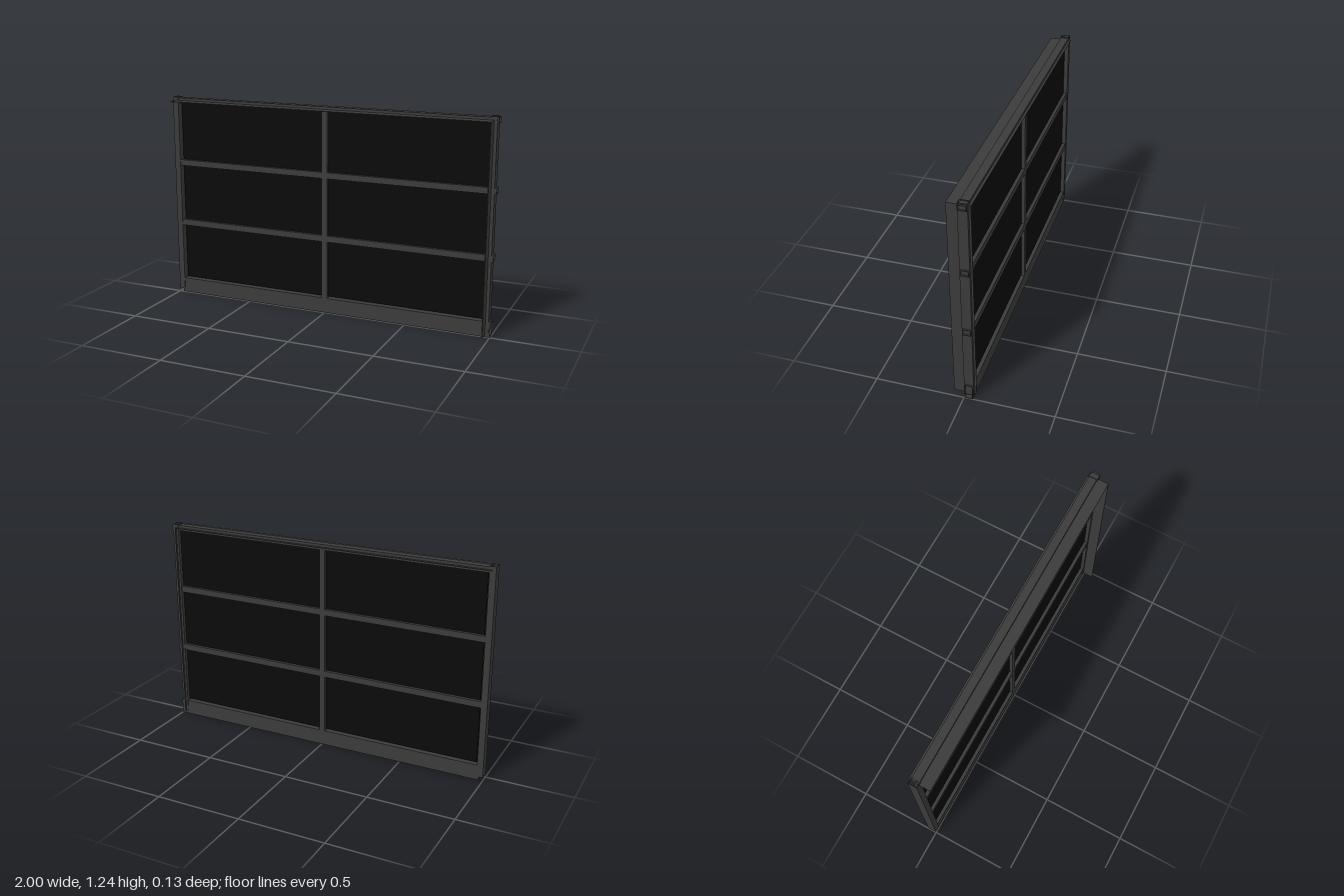
import * as THREE from 'three';

export function createModel() {
  const model = new THREE.Group();
  model.name = 'framedPanel';
  const steel = new THREE.MeshStandardMaterial({ color: 0x3b3b3b });
  steel.name = 'dark grey steel';
  const glass = new THREE.MeshStandardMaterial({ color: 0x0b0b0b });
  glass.name = 'black glass';

  // A solid block given by its lower and upper corners
  function block(name, [x0, y0, z0], [x1, y1, z1], material = steel) {
    const mesh = new THREE.Mesh(new THREE.BoxGeometry(x1 - x0, y1 - y0, z1 - z0), material);
    mesh.position.set((x0 + x1) / 2, (y0 + y1) / 2, (z0 + z1) / 2);
    mesh.name = name;
    model.add(mesh);
  }

  // A hollow rectangular tube, open at both ends, along x or y
  function tube(name, axis, [x0, y0, z0], [x1, y1, z1]) {
    const alongX = axis === 'x';
    const w = (alongX ? z1 - z0 : x1 - x0) / 2;
    const h = (alongX ? y1 - y0 : z1 - z0) / 2;
    const length = alongX ? x1 - x0 : y1 - y0;
    const ring = (a, b) => [[-a, -b], [a, -b], [a, b], [-a, b]].map(p => new THREE.Vector2(...p));
    const section = new THREE.Shape(ring(w, h));
    section.holes.push(new THREE.Path(ring(w - 0.004, h - 0.004)));
    const geometry = new THREE.ExtrudeGeometry(section, { depth: length, bevelEnabled: false });
    geometry.translate(0, 0, -length / 2);
    if (alongX) geometry.rotateY(Math.PI / 2);
    else geometry.rotateX(-Math.PI / 2);
    const mesh = new THREE.Mesh(geometry, steel);
    mesh.position.set((x0 + x1) / 2, (y0 + y1) / 2, (z0 + z1) / 2);
    mesh.name = name;
    model.add(mesh);
  }

  // Upright posts at both ends
  tube('rightPost', 'y', [-1, 0.02, -0.053], [-0.964, 1.235, 0]);
  tube('leftPost', 'y', [0.956, 0.02, -0.053], [0.991, 1.235, 0]);

  // Horizontal rails, poking slightly through the left post
  const rails = [
    ['bottomRail', -0.975, 0, 0.09],
    ['lowerBar', -0.965, 0.437, 0.474],
    ['upperBar', -0.965, 0.815, 0.851],
    ['topRail', -0.975, 1.198, 1.23],
  ];
  for (const [name, x, y0, y1] of rails) tube(name, 'x', [x, y0, -0.05], [1, y1, -0.003]);

  // Central upright
  tube('centreMullion', 'y', [-0.019, 0.088, -0.051], [0.014, 1.2, -0.002]);

  // Thin cover strips along the top and the left side
  block('topStrip', [-0.98, 1.211, -0.063], [0.973, 1.215, 0.063]);
  block('leftStrip', [0.969, 0.016, -0.063], [0.973, 1.215, 0.063]);

  // Dark infill sheet, with a small gap at the right and the bottom
  block('glassPanel', [-0.953, 0.098, -0.031], [0.958, 1.2, -0.022], glass);

  return model;
}
